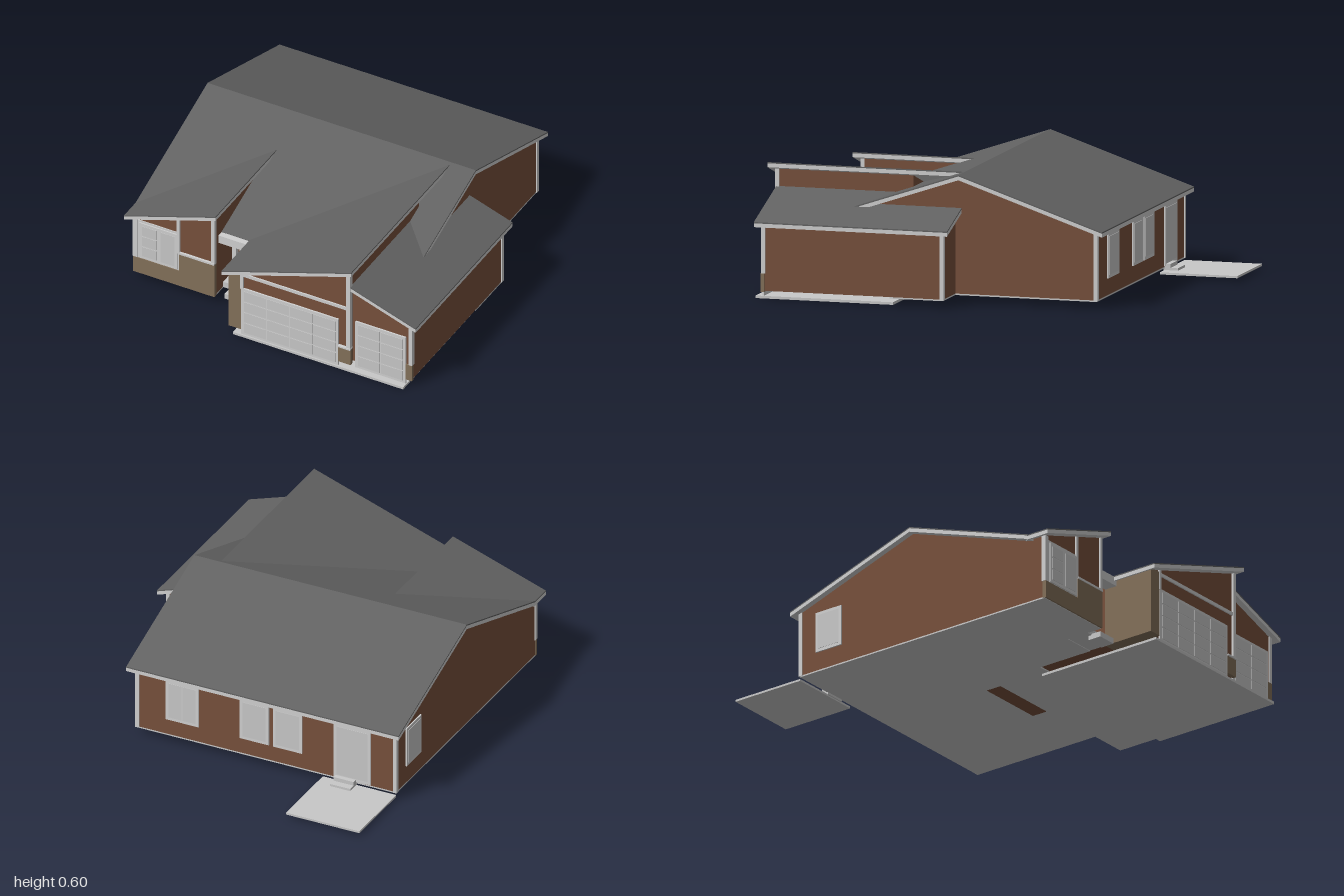
import * as THREE from 'three';

const material = (name, color) => {
  const m = new THREE.MeshStandardMaterial({ color });
  m.name = name;
  return m;
};

export function createModel() {
  const house = new THREE.Group();
  house.name = 'house';
  const siding = material('brown siding', 0x77503c);
  const brick = material('tan brick', 0x83705a);
  const shingle = material('grey shingle', 0x626262);
  const trim = material('light trim', 0xd0d0d0);
  const panel = material('pale panel', 0xc8c8c8);

  // Box given by its limits on each axis
  function box(name, mat, x0, x1, y0, y1, z0, z1, parent = house) {
    const mesh = new THREE.Mesh(new THREE.BoxGeometry(x1 - x0, y1 - y0, z1 - z0), mat);
    mesh.position.set((x0 + x1) / 2, (y0 + y1) / 2, (z0 + z1) / 2);
    mesh.name = name;
    parent.add(mesh);
    return mesh;
  }

  // Solid over a plan outline of [x, z] points, between two height rules
  function solid(name, mat, plan, bottom, top, hole) {
    const toShape = (pts) => pts.map(([x, z]) => new THREE.Vector2(x, -z));
    const shape = new THREE.Shape(toShape(plan));
    if (hole) shape.holes.push(new THREE.Path(toShape(hole)));
    const geo = new THREE.ExtrudeGeometry(shape, { depth: 1, bevelEnabled: false });
    geo.rotateX(-Math.PI / 2);
    const p = geo.attributes.position;
    for (let i = 0; i < p.count; i++) {
      const rule = p.getY(i) > 0.5 ? top : bottom;
      p.setY(i, rule(p.getX(i), p.getZ(i)));
    }
    geo.computeVertexNormals();
    const mesh = new THREE.Mesh(geo, mat);
    mesh.name = name;
    house.add(mesh);
  }
  const rect = (x0, x1, z0, z1) => [[x0, z0], [x1, z0], [x1, z1], [x0, z1]];

  // Roof heights, all at one pitch
  const pitch = 0.338, ridgeZ = 0.035, eaveY = 0.365, base = 0.04;
  const mainH = (x, z) => 0.6 - pitch * Math.abs(z - ridgeZ);
  const bayH = (x) => eaveY + pitch * (x + 0.8);
  const garageH = (x) => eaveY + pitch * (x + 0.2);
  const sideH = (x) => eaveY + pitch * (0.8 - x);

  // Roofs: shingle layer over a light fascia and soffit
  function roof(name, plan, h) {
    solid(name + 'Shingles', shingle, plan, (x, z) => h(x, z) - 0.006, h);
    solid(name + 'Fascia', trim, plan, (x, z) => h(x, z) - 0.024, (x, z) => h(x, z) - 0.006);
  }
  roof('mainRoofBack', rect(-0.8, 0.61, -0.66, ridgeZ), mainH);
  roof('mainRoofFront', rect(-0.8, 0.61, ridgeZ, 0.735), mainH);
  roof('bayRoof', [[-0.8, 0.84], [-0.8, 0.72], [-0.32, 0.24], [-0.32, 0.84]], bayH);
  roof('garageRoof', [[-0.2, 1], [-0.2, 0.72], [0.48, 0.04], [0.48, 1]], garageH);
  roof('sideGarageRoof',
    [[0.455, 0.965], [0.455, 0.3], [0.56, 0.3], [0.56, 0.03], [0.8, 0.03], [0.8, 0.965]], sideH);

  // Walls rise to just under the roofs; the entry is set back
  function walls(name, plan, h) {
    solid(name, siding, plan, () => base, (x, z) => h(x, z) - 0.02);
  }
  walls('backWalls', rect(-0.77, 0.575, -0.625, ridgeZ), mainH);
  for (const [x0, x1, z1] of [[-0.77, -0.345, 0.71], [-0.345, -0.18, 0.61], [-0.18, 0.575, 0.71]]) {
    walls('frontWalls', rect(x0, x1, ridgeZ, z1), mainH);
  }
  walls('bayWalls', rect(-0.77, -0.345, 0.3, 0.8), bayH);
  walls('garageWalls', rect(-0.18, 0.455, 0.3, 0.96), garageH);
  walls('sideGarageWalls', [[0.455, 0.935], [0.455, 0.34], [0.57, 0.34], [0.57, 0.06], [0.765, 0.06], [0.765, 0.935]], sideH);

  // Floor plate with a stair slot, and the lower garage slab
  solid('floor', panel,
    [[-0.77, -0.625], [0.575, -0.625], [0.575, 0.06], [0.765, 0.06], [0.765, 0.32], [-0.18, 0.32],
      [-0.18, 0.61], [-0.345, 0.61], [-0.345, 0.8], [-0.77, 0.8]],
    () => 0.033, () => base, rect(-0.13, 0.22, -0.03, 0.05));
  box('garageSlab', panel, -0.155, 0.74, 0, 0.012, 0.31, 0.975);

  // Back patio and steps
  box('patio', panel, -0.77, -0.39, 0.015, 0.025, -1, -0.625);
  box('backStepLower', panel, -0.565, -0.46, 0.022, 0.036, -0.69, -0.62);
  box('backStepUpper', panel, -0.565, -0.46, 0.036, 0.055, -0.655, -0.62);

  // Window or door facing +z; rows and columns of panes in a frame
  function opening(name, w, h, cols, rows, x, y, z, turn = 0) {
    const g = new THREE.Group();
    g.name = name;
    box('frame', trim, -w / 2, w / 2, 0, h, -0.004, 0.004, g);
    const m = 0.012, gap = 0.006;
    const cw = (w - 2 * m) / cols, ch = (h - 2 * m) / rows;
    for (let i = 0; i < cols; i++) {
      for (let j = 0; j < rows; j++) {
        const px = -w / 2 + m + i * cw, py = m + j * ch;
        box('pane', panel, px + gap / 2, px + cw - gap / 2, py + gap / 2, py + ch - gap / 2, 0.002, 0.006, g);
      }
    }
    g.position.set(x, y, z);
    g.rotation.y = turn;
    house.add(g);
  }
  opening('garageDoor', 0.51, 0.265, 4, 4, 0.14, 0.01, 0.964);
  opening('sideGarageDoor', 0.265, 0.265, 2, 4, 0.603, 0.01, 0.939);
  opening('backWindow', 0.17, 0.21, 2, 1, 0.335, 0.12, -0.628, Math.PI);
  opening('backWindow', 0.15, 0.21, 1, 1, -0.038, 0.12, -0.628, Math.PI);
  opening('backWindow', 0.15, 0.21, 1, 1, -0.21, 0.12, -0.628, Math.PI);
  opening('backDoor', 0.19, 0.285, 1, 1, -0.545, 0.045, -0.628, Math.PI);
  opening('leftWindow', 0.15, 0.2, 1, 1, -0.773, 0.13, -0.455, -Math.PI / 2);

  // Bay front: light window surround, brick below, trim posts
  box('baySurround', trim, -0.77, -0.53, 0.12, 0.335, 0.799, 0.804);
  opening('bayWindowLeft', 0.105, 0.2, 1, 3, -0.685, 0.125, 0.806);
  opening('bayWindowRight', 0.105, 0.2, 1, 1, -0.588, 0.125, 0.806);
  box('bayBrickLow', brick, -0.772, -0.53, 0.035, 0.12, 0.79, 0.808);
  box('bayBrickHigh', brick, -0.53, -0.343, 0.035, 0.218, 0.79, 0.808);
  box('baySill', trim, -0.53, -0.343, 0.218, 0.228, 0.79, 0.812);
  box('bayPost', trim, -0.542, -0.525, 0.22, 0.432, 0.795, 0.809);
  box('bayPost', trim, -0.36, -0.343, 0.228, 0.495, 0.79, 0.809);
  box('bayCorner', trim, -0.774, -0.75, 0.12, 0.35, 0.785, 0.807);

  // Entry: door, posts, beam, threshold and steps
  opening('entryDoor', 0.105, 0.265, 1, 1, -0.262, 0.06, 0.614);
  for (const x of [-0.335, -0.19]) box('entryPost', trim, x - 0.01, x + 0.01, 0.065, 0.32, 0.61, 0.635);
  box('entryBeam', trim, -0.345, -0.18, 0.32, 0.362, 0.7, 0.765);
  box('entryLanding', panel, -0.345, -0.18, 0.036, 0.066, 0.6, 0.72);
  box('entryStep', panel, -0.31, -0.21, 0.015, 0.042, 0.7, 0.77);

  // Garage front: brick piers, bands and posts
  box('garageBrickPier', brick, -0.182, -0.115, 0.035, 0.358, 0.7, 0.966);
  box('garagePost', trim, -0.12, -0.105, 0.27, 0.37, 0.955, 0.969);
  box('garageBand', trim, -0.105, 0.44, 0.342, 0.358, 0.955, 0.967);
  box('garagePost', trim, 0.438, 0.459, 0.125, 0.567, 0.95, 0.97);
  box('garageBrickLow', brick, 0.395, 0.459, 0.035, 0.122, 0.95, 0.968);
  box('garageBrickCap', trim, 0.395, 0.461, 0.122, 0.13, 0.95, 0.975);
  box('sideBrickLow', brick, 0.735, 0.768, 0.035, 0.122, 0.925, 0.942);
  box('sideCornerTrim', trim, 0.75, 0.769, 0.122, 0.36, 0.92, 0.941);

  // Corner boards on the remaining corners
  box('cornerBoard', trim, 0.75, 0.769, 0.036, 0.36, 0.056, 0.076);
  for (const x of [-0.765, 0.57]) box('cornerBoard', trim, x - 0.01, x + 0.01, 0.036, 0.36, -0.63, -0.61);

  return house;
}
